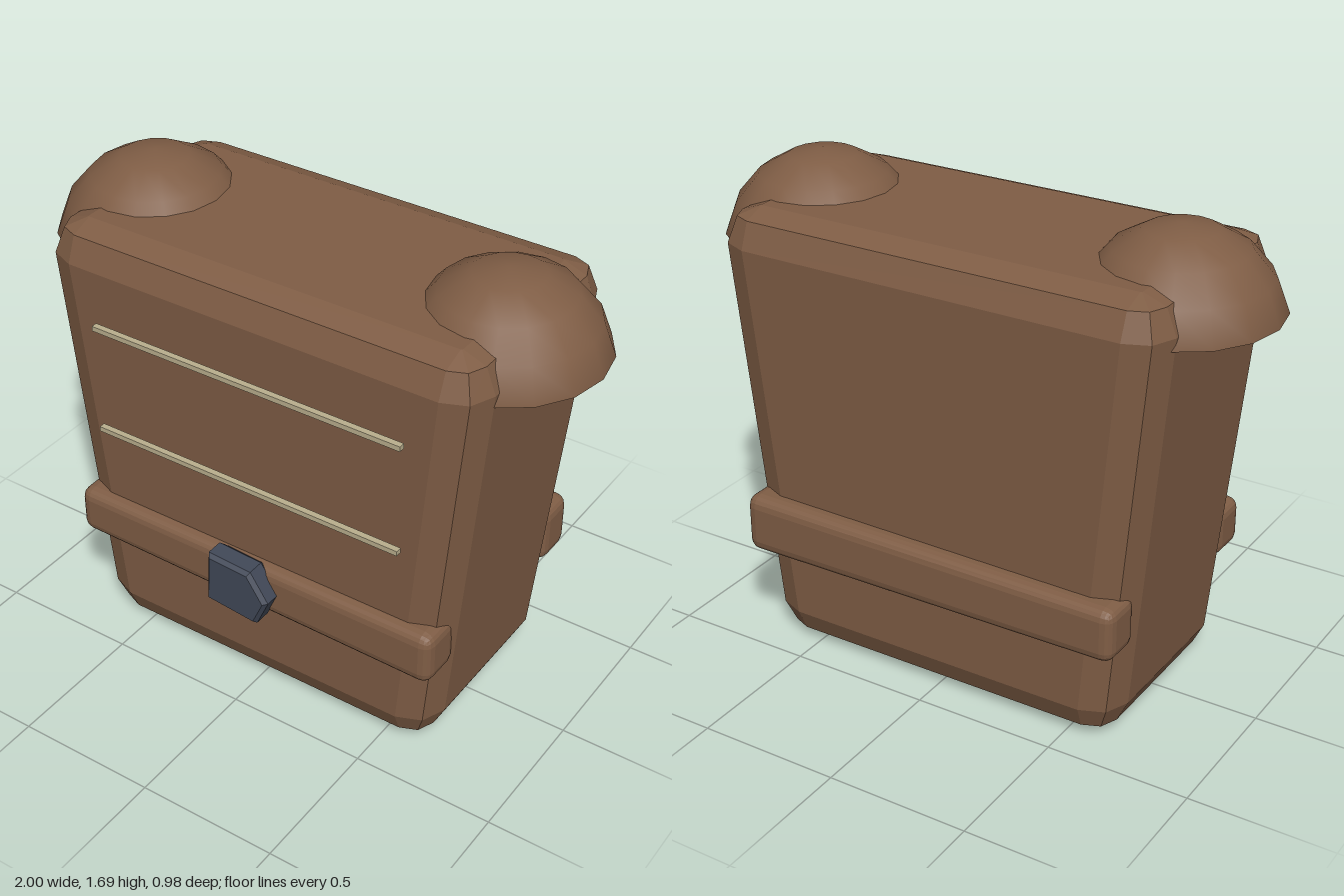
import * as THREE from 'three';
import { RoundedBoxGeometry } from 'three/addons/geometries/RoundedBoxGeometry.js';

const leather = new THREE.MeshStandardMaterial({ name: 'brown leather', color: 0x7f5d45 });
const steel = new THREE.MeshStandardMaterial({ name: 'dark steel', color: 0x414857 });
const thread = new THREE.MeshStandardMaterial({ name: 'pale trim', color: 0xb9ae8d });

const CENTRE_Z = -0.025;

// Unshared corners give every facet its own flat normal
function faceted(geometry) {
  const g = geometry.index ? geometry.toNonIndexed() : geometry;
  g.computeVertexNormals();
  return g;
}

// Closed solid from horizontal rounded rectangles: [y, inner half width, inner half depth, corner radius]
function loft(levels) {
  const positions = [], index = [], n = 12;
  for (const [y, w, d, r] of levels) {
    for (let corner = 0; corner < 4; corner++) {
      const sx = corner === 0 || corner === 3 ? 1 : -1;
      const sz = corner < 2 ? 1 : -1;
      for (let i = 0; i < 3; i++) {
        const a = (corner + i / 2) * Math.PI / 2;
        positions.push(sx * w + r * Math.cos(a), y, sz * d + r * Math.sin(a));
      }
    }
  }
  for (let l = 0; l < levels.length - 1; l++) {
    for (let i = 0; i < n; i++) {
      const a = l * n + i, b = l * n + (i + 1) % n;
      index.push(a, a + n, b, b, a + n, b + n);
    }
  }
  const top = (levels.length - 1) * n;
  for (let i = 1; i < n - 1; i++) {
    index.push(0, i, i + 1);
    index.push(top, top + i + 1, top + i);
  }
  const g = new THREE.BufferGeometry();
  g.setAttribute('position', new THREE.Float32BufferAttribute(positions, 3));
  g.setIndex(index);
  return faceted(g);
}

export function createModel() {
  const model = new THREE.Group();
  model.name = 'torsoArmour';

  function add(name, geometry, material, x = 0, y = 0, z = 0) {
    const mesh = new THREE.Mesh(geometry, material);
    mesh.name = name;
    mesh.position.set(x, y, z);
    model.add(mesh);
    return mesh;
  }

  // Tapered body with bevelled edges
  add('body', loft([
    [0, 0.55, 0.275, 0.005],
    [0.04, 0.555, 0.275, 0.085],
    [0.12, 0.56, 0.275, 0.12],
    [1.45, 0.69, 0.305, 0.12],
    [1.54, 0.69, 0.305, 0.085],
    [1.57, 0.69, 0.305, 0.005],
  ]), leather, 0, 0, CENTRE_Z);

  // Shoulder domes, closed underneath
  const angle = Math.PI * 0.44, radius = 0.34;
  for (const side of [1, -1]) {
    const name = side > 0 ? 'left' : 'right';
    const dome = add(name + 'Shoulder',
      new THREE.SphereGeometry(radius, 16, 4, 0, Math.PI * 2, 0, angle), leather, side * 0.666, 1.345, -0.03);
    dome.scale.z = 1.03;
    const base = add(name + 'ShoulderBase',
      new THREE.CircleGeometry(radius * Math.sin(angle), 16), leather,
      side * 0.666, 1.345 + radius * Math.cos(angle), -0.03);
    base.rotation.x = Math.PI / 2;
    base.scale.y = 1.03;
  }

  // Belt halves, sagging slightly towards the middle
  function belt(name, z, depth, height, sag) {
    const g = new RoundedBoxGeometry(1.42, height, depth, 2, 0.04);
    const p = g.attributes.position;
    for (let i = 0; i < p.count; i++) {
      const t = p.getX(i) / 0.71;
      p.setY(i, p.getY(i) * (1 + 0.06 * t) - sag * t);
    }
    add(name, faceted(g), leather, 0, 0.467, z);
  }
  belt('frontBelt', 0.34, 0.17, 0.185, 0.005);
  belt('backBelt', -0.41, 0.165, 0.2, 0);

  // Irregular belt buckle with a bevelled rim
  const outline = [[-0.1, 0.57], [0.05, 0.562], [0.112, 0.47], [0.073, 0.382], [-0.108, 0.4]];
  const buckle = new THREE.ExtrudeGeometry(
    new THREE.Shape(outline.map(([x, y]) => new THREE.Vector2(x, y))),
    { depth: 0.06, bevelEnabled: true, bevelThickness: 0.015, bevelSize: 0.012, bevelSegments: 1 });
  add('buckle', faceted(buckle), steel, 0, 0, 0.414);

  // Thin trim lines across the chest
  for (const [name, y] of [['upperTrim', 1.26], ['lowerTrim', 0.865]]) {
    add(name, new THREE.BoxGeometry(1.17, 0.018, 0.022), thread, 0, y, 0.42);
  }

  return model;
}
